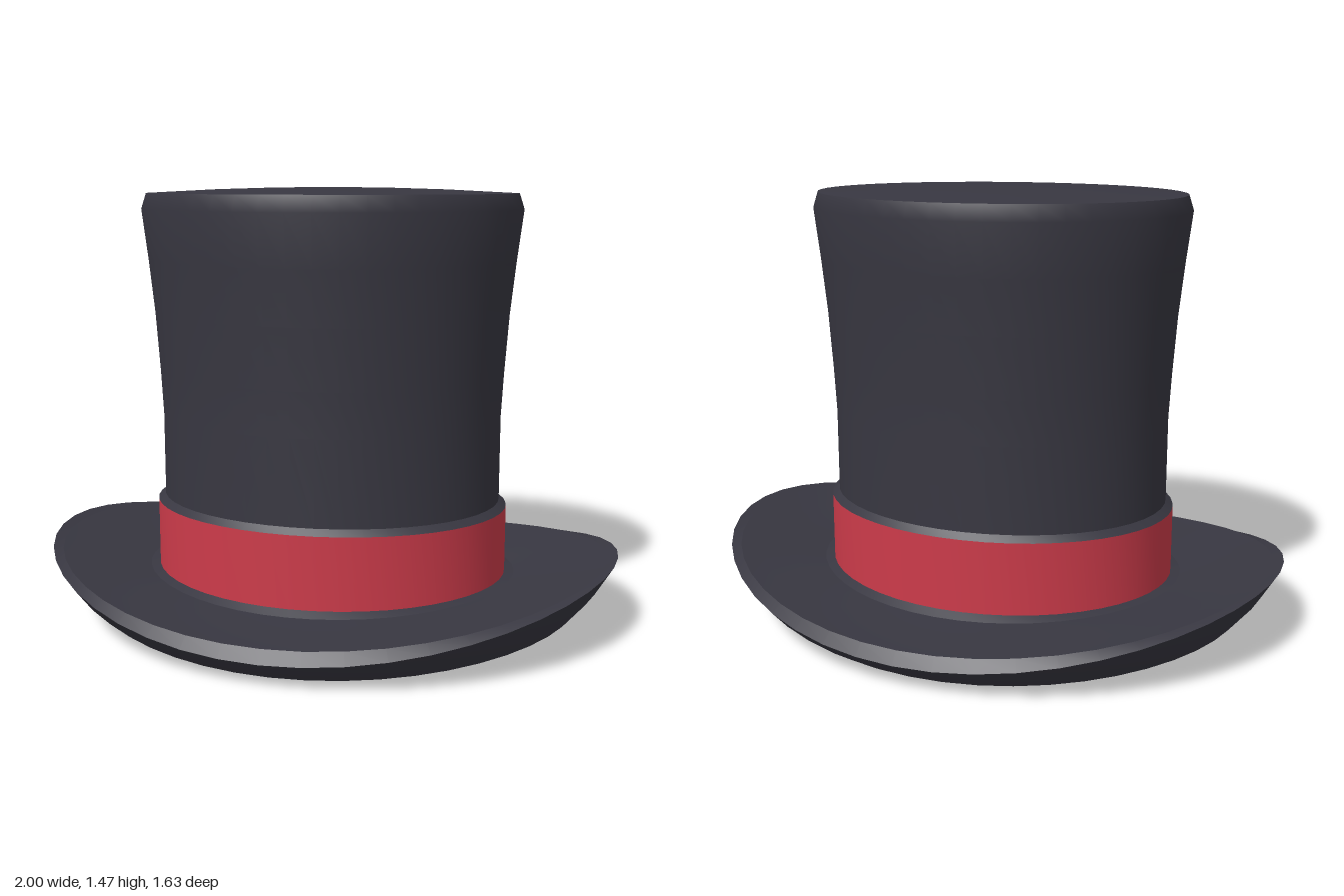
import * as THREE from 'three';
import { mergeVertices } from 'three/addons/utils/BufferGeometryUtils.js';

const DEPTH = 0.815; // the hat is an ellipse, narrower front to back
const SEGMENTS = 48;

const felt = new THREE.MeshStandardMaterial({ color: 0x383741 });
felt.name = 'charcoalFelt';
const ribbon = new THREE.MeshStandardMaterial({ color: 0xcc3b4a });
ribbon.name = 'redRibbon';

// Elliptical lathe of [radius, y, lift] points; lift raises the sides (+x and -x)
function ovalRing(name, profile, material) {
  let geo = new THREE.LatheGeometry(profile.map(([r, y]) => new THREE.Vector2(r, y)), SEGMENTS);
  const pos = geo.attributes.position;
  for (let k = 0; k < pos.count; k++) {
    const [, y, lift = 0] = profile[k % profile.length];
    const angle = (Math.floor(k / profile.length) / SEGMENTS) * Math.PI * 2;
    pos.setY(k, y + lift * Math.sin(angle) ** 2);
    pos.setZ(k, pos.getZ(k) * DEPTH);
  }
  geo.deleteAttribute('uv');
  geo.deleteAttribute('normal');
  geo = mergeVertices(geo, 1e-5);
  geo.computeVertexNormals();
  const mesh = new THREE.Mesh(geo, material);
  mesh.name = name;
  return mesh;
}

export function createModel() {
  const hat = new THREE.Group();
  hat.name = 'topHat';

  // Brim: separate runs keep the creases between them sharp
  const brim = new THREE.Group();
  brim.name = 'brim';
  brim.add(
    ovalRing('brimBase', [[0, 0, 0], [0.3, 0, 0.007], [0.6, 0, 0.029], [0.865, 0, 0.06]], felt),
    ovalRing('brimUnderside', [[0.865, 0, 0.06], [0.94, 0.038, 0.112], [1, 0.083, 0.167]], felt),
    ovalRing('brimEdge', [[1, 0.083, 0.167], [0.965, 0.123, 0.115]], felt),
    ovalRing('brimTop', [[0.965, 0.123, 0.115], [0.88, 0.122, 0.092], [0.76, 0.124, 0.06], [0.65, 0.13, 0.028]], felt),
    ovalRing('brimCollar', [[0.65, 0.13, 0.028], [0.615, 0.148, 0.012]], felt),
  );

  // Ribbon band and the small ledge above it
  const band = ovalRing('band', [[0.617, 0.148, 0.012], [0.617, 0.393]], ribbon);
  const ledge = ovalRing('bandLedge', [[0.617, 0.393], [0.592, 0.413]], felt);

  // Crown flares towards the top and has a slightly domed lid
  const crown = ovalRing('crown', [
    [0.592, 0.413], [0.592, 0.7], [0.6, 0.85], [0.614, 1.05],
    [0.633, 1.23], [0.654, 1.4], [0.637, 1.452],
  ], felt);
  const lid = ovalRing('crownTop', [[0.637, 1.452], [0.4, 1.464], [0.2, 1.47], [0, 1.472]], felt);

  hat.add(brim, band, ledge, crown, lid);
  return hat;
}
